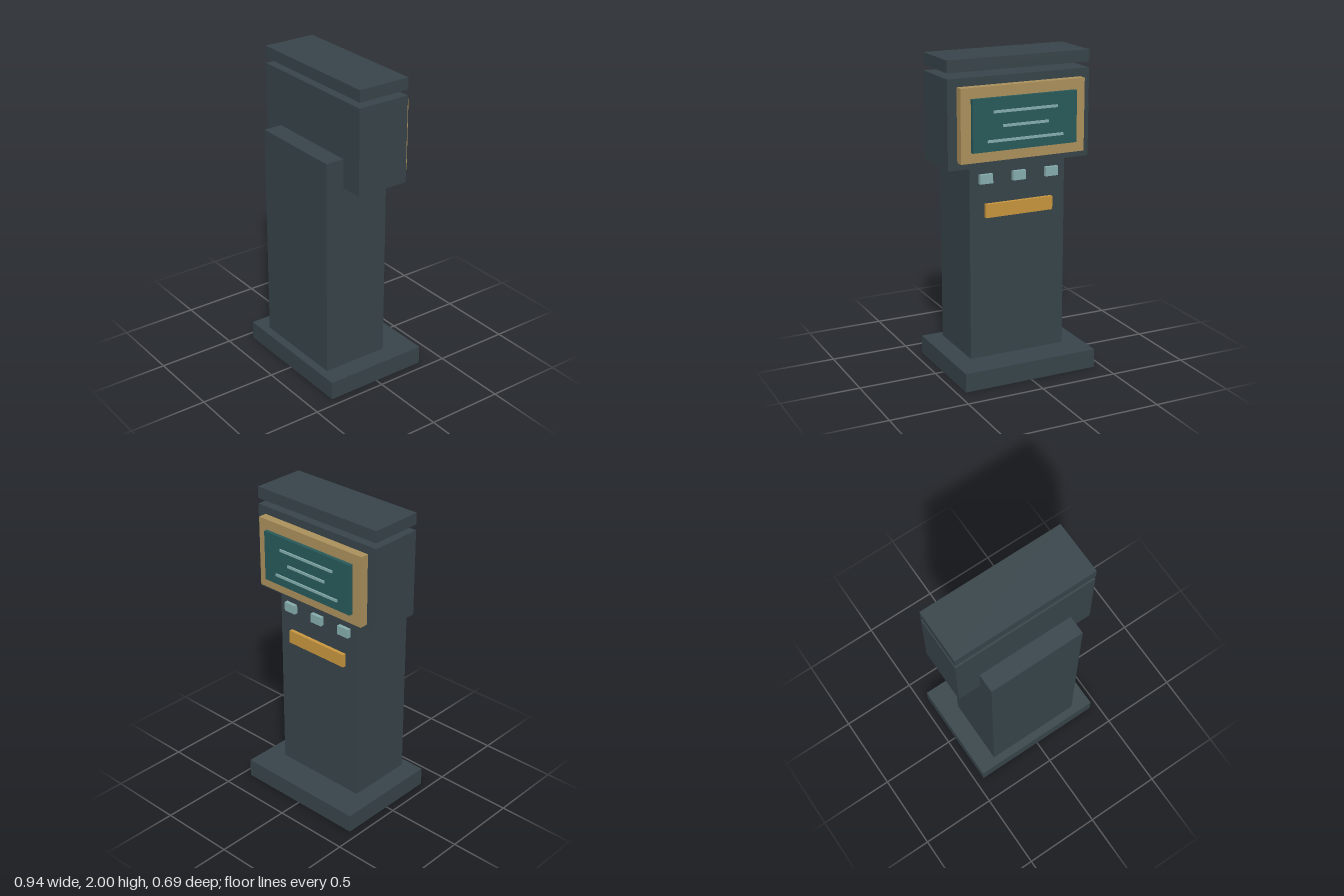
import * as THREE from 'three';

const material = (name, color) => {
  const m = new THREE.MeshStandardMaterial({ color });
  m.name = name;
  return m;
};

export function createModel() {
  const group = new THREE.Group();
  group.name = 'kiosk';

  const casing = material('dark slate', 0x37444a);
  const brass = material('brass', 0xab905c);
  const teal = material('deep teal', 0x285a5b);
  const pale = material('pale teal', 0x86adad);
  const amber = material('amber', 0xc8963e);

  // Box from its width (or x centre), and its y and z ranges
  const box = (name, mat, width, [y0, y1], [z0, z1], x = 0) => {
    const mesh = new THREE.Mesh(new THREE.BoxGeometry(width, y1 - y0, z1 - z0), mat);
    mesh.name = name;
    mesh.position.set(x, (y0 + y1) / 2, (z0 + z1) / 2);
    group.add(mesh);
  };

  // Casing
  box('base', casing, 0.89, [0, 0.12], [-0.347, 0.347]);
  box('column', casing, 0.64, [0.12, 1.53], [-0.147, 0.295]);
  box('head', casing, 0.94, [1.343, 1.89], [-0.174, 0.173]);
  box('cap', casing, 0.94, [1.926, 2], [-0.174, 0.173]);

  // Display on the back of the head
  box('screenFrame', brass, 0.82, [1.39, 1.84], [-0.229, -0.174]);
  box('screen', teal, 0.69, [1.455, 1.775], [-0.253, -0.229]);
  [[1.692, 0.42], [1.605, 0.3], [1.518, 0.5]].forEach(([y, width], i) =>
    box(`screenLine${i + 1}`, pale, width, [y - 0.008, y + 0.008], [-0.261, -0.253]));

  // Controls, standing just clear of the column
  [-0.22, 0, 0.22].forEach((x, i) =>
    box(`button${i + 1}`, pale, 0.085, [1.24, 1.298], [-0.177, -0.153], x));
  box('slotPlate', amber, 0.45, [1.027, 1.112], [-0.177, -0.153]);

  return group;
}
